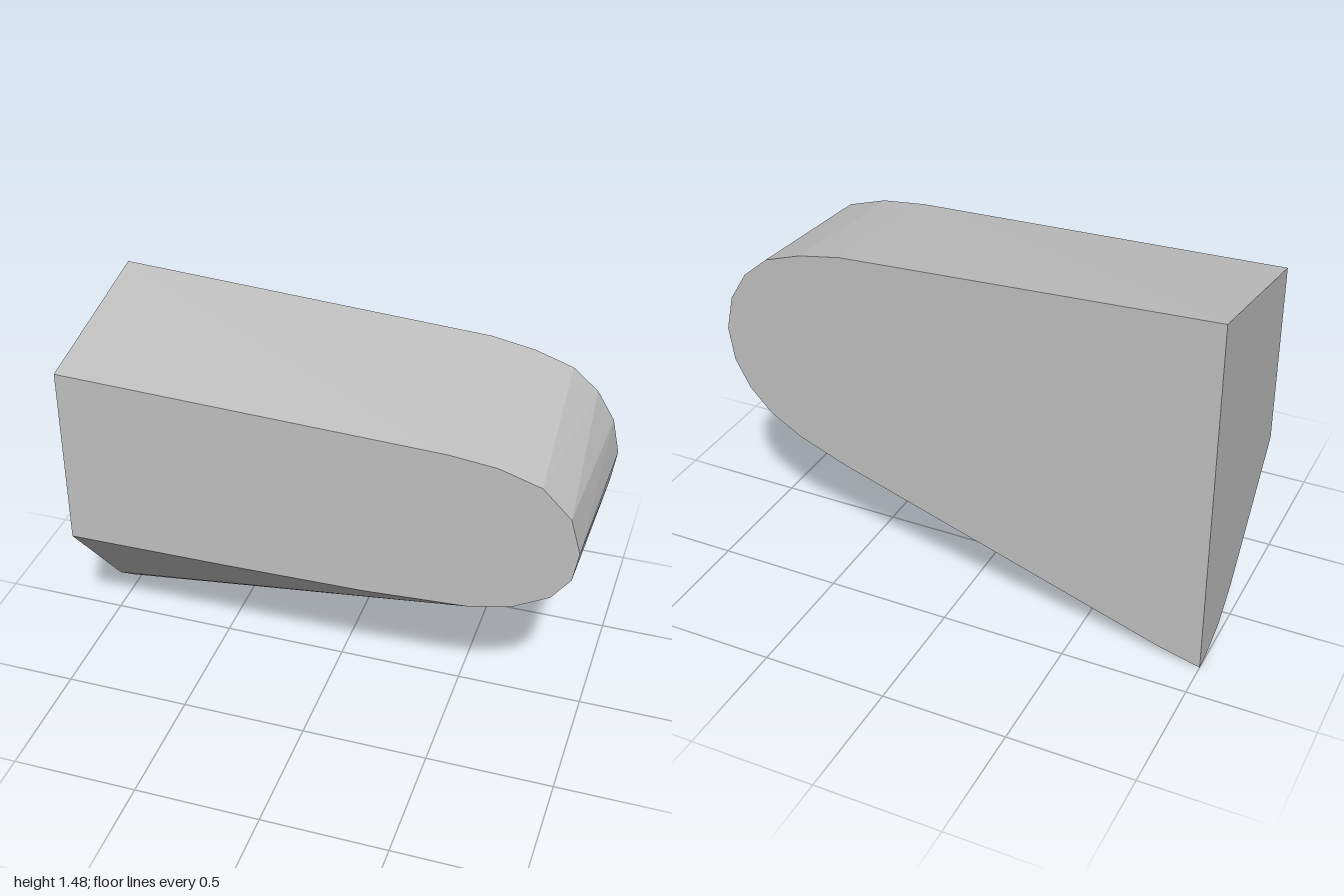
import * as THREE from 'three';
import { ConvexGeometry } from 'three/addons/geometries/ConvexGeometry.js';

export function createModel() {
  const group = new THREE.Group();
  const grey = new THREE.MeshStandardMaterial({ color: 0xc0c0c0 });
  grey.name = 'light grey';

  // Small rounded outline of the front face (x, y)
  const front = [[-1, 1.36], [0.5, 1.31], [0.68, 1.29], [0.84, 1.24], [0.95, 1.13], [0.99, 0.99],
    [0.97, 0.87], [0.9, 0.775], [0.76, 0.697], [0.6, 0.66], [0.2, 0.636], [-0.35, 0.626], [-1, 0.62]];
  // Larger outline of the back face (x, y)
  const back = [[-1, 1.48], [0.48, 1.4], [0.65, 1.37], [0.8, 1.32], [0.9, 1.235], [0.97, 1.12], [1, 0.98],
    [0.98, 0.845], [0.92, 0.73], [0.83, 0.635], [0.7, 0.557], [0.5, 0.478], [-0.83, 0.043], [-1, 0]];
  // Rounded underside of the flat end (z, y)
  const end = [[-0.03, 0.16], [-0.15, 0.06], [-0.24, 0.025], [-0.28, 0.012]];
  // Bulge of the underside below the nose (x, y, z)
  const bulge = [[0.91, 0.775, 0.26], [0.82, 0.635, -0.11], [0.64, 0.545, -0.17]];

  const points = [
    ...front.map(([x, y]) => new THREE.Vector3(x, y, 0.35)),
    ...back.map(([x, y]) => new THREE.Vector3(x, y, -0.35)),
    ...end.map(([z, y]) => new THREE.Vector3(-1, y, z)),
    ...bulge.map((p) => new THREE.Vector3(...p)),
  ];
  const body = new THREE.Mesh(new ConvexGeometry(points), grey);
  body.name = 'taperedBody';
  group.add(body);
  return group;
}
